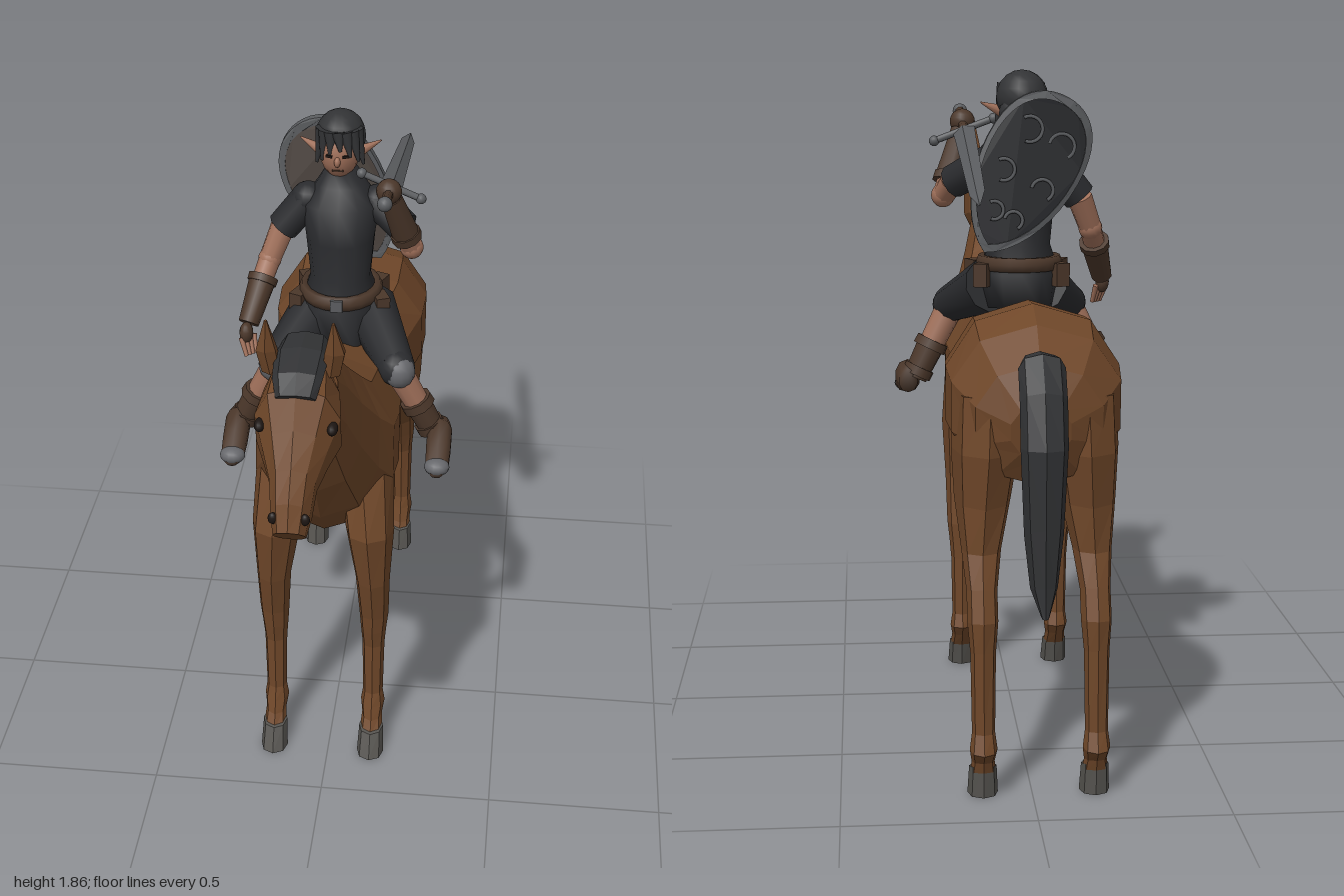
import * as THREE from 'three';

const mat = (name, color) => { const m = new THREE.MeshStandardMaterial({ color }); m.name = name; return m; };
const V = (x, y, z) => new THREE.Vector3(x, y, z);

// Skin over oval rings. Each ring: [z1, y1, z2, y2, halfWidth, xOffset] - two opposite points and a width.
function loft(rings, { sides = 10, x = 0, mirror = 1, flat = true } = {}) {
  const pos = [], idx = [], n = sides;
  for (const [z1, y1, z2, y2, hw, off = 0] of rings)
    for (let i = 0; i < n; i++) {
      const a = i / n * Math.PI * 2, c = Math.cos(a) / 2, s = Math.sin(a);
      const wide = Math.sign(s) * Math.abs(s) ** 0.85;
      pos.push(x + mirror * off + wide * hw, (y1 + y2) / 2 + (y1 - y2) * c, (z1 + z2) / 2 + (z1 - z2) * c);
    }
  for (let r = 0; r < rings.length - 1; r++)
    for (let i = 0; i < n; i++) {
      const a = r * n + i, b = r * n + (i + 1) % n;
      idx.push(a, b, a + n, b, b + n, a + n);
    }
  const last = (rings.length - 1) * n;
  for (let i = 1; i < n - 1; i++) idx.push(0, i + 1, i, last, last + i, last + i + 1);
  // turn the faces outward when the signed volume is negative
  const p = i => V(pos[i * 3], pos[i * 3 + 1], pos[i * 3 + 2]);
  let vol = 0;
  for (let i = 0; i < idx.length; i += 3) vol += p(idx[i]).dot(p(idx[i + 1]).cross(p(idx[i + 2])));
  if (vol < 0) idx.reverse();
  let g = new THREE.BufferGeometry();
  g.setAttribute('position', new THREE.Float32BufferAttribute(pos, 3));
  g.setIndex(idx);
  if (flat) g = g.toNonIndexed();
  g.computeVertexNormals();
  return g;
}

export function createModel() {
  const root = new THREE.Group();
  const coat = mat('horse coat', 0x6f4729), hair = mat('dark hair', 0x323335), hoofMat = mat('hoof grey', 0x55534f);
  const cloth = mat('black cloth', 0x2a2b2e), skin = mat('skin', 0xa0705a), leather = mat('brown leather', 0x4b372a);
  const steel = mat('steel', 0x5a5c5f), pad = mat('pad grey', 0x66676b), wood = mat('shield backing', 0x4d4540);
  const eyeMat = mat('eye', 0x1d1613);

  const horse = new THREE.Group(), rider = new THREE.Group();
  horse.name = 'horse'; rider.name = 'rider';
  root.add(horse, rider);
  const add = (parent, name, geo, m) => { const o = new THREE.Mesh(geo, m); o.name = name; parent.add(o); return o; };
  const limb = (name, a, b, r1, r2, m) => {
    const o = add(rider, name, new THREE.CylinderGeometry(r2, r1, a.distanceTo(b), 10), m);
    o.position.copy(a).lerp(b, 0.5);
    o.quaternion.setFromUnitVectors(V(0, 1, 0), b.clone().sub(a).normalize());
    return o;
  };
  const ball = (parent, name, at, size, m) => {
    const o = add(parent, name, new THREE.SphereGeometry(1, 14, 10), m);
    o.position.set(...at); o.scale.set(...size); return o;
  };
  const box = (name, at, size, m, turn = 0) => {
    const o = add(rider, name, new THREE.BoxGeometry(...size), m);
    o.position.set(...at); o.rotation.y = turn; return o;
  };

  // ---- Horse ----
  const hx = -0.018;
  add(horse, 'bodyAndNeck', loft([
    [-.855, 1.04, -.835, .9, .08], [-.82, 1.14, -.79, .82, .17], [-.72, 1.225, -.69, .8, .23],
    [-.6, 1.265, -.58, .79, .24], [-.45, 1.255, -.5, .79, .235], [-.32, 1.22, -.38, .755, .185],
    [-.15, 1.2, -.12, .72, .195], [.05, 1.24, .1, .735, .21], [.2, 1.29, .24, .76, .205],
    [.28, 1.35, .33, .86, .17], [.4, 1.44, .44, 1.02, .13], [.5, 1.52, .53, 1.17, .1],
    [.62, 1.59, .61, 1.27, .085]], { x: hx }), coat);
  add(horse, 'horseHead', loft([
    [.6, 1.58, .58, 1.28, .07], [.72, 1.6, .65, 1.285, .1], [.81, 1.57, .74, 1.28, .112],
    [.865, 1.48, .8, 1.285, .085], [.92, 1.4, .845, 1.265, .06], [.97, 1.335, .88, 1.215, .052],
    [1.0, 1.27, .925, 1.2, .042]], { x: hx }), coat);
  add(horse, 'mane', loft([
    [.15, 1.27, .17, 1.22, .02], [.22, 1.345, .25, 1.28, .035], [.42, 1.49, .44, 1.42, .05],
    [.6, 1.61, .6, 1.55, .06], [.7, 1.62, .7, 1.56, .068], [.79, 1.6, .77, 1.55, .062],
    [.835, 1.56, .8, 1.52, .05]], { x: hx, sides: 8 }), hair);
  add(horse, 'tail', loft([
    [-.8, 1.17, -.81, 1.1, .05], [-.88, 1.175, -.85, 1.1, .06], [-.955, 1.09, -.88, 1.03, .06],
    [-1, .95, -.885, .95, .06], [-.99, .75, -.87, .7, .05], [-.985, .6, -.88, .58, .035],
    [-.985, .52, -.965, .53, .01]], { x: hx, sides: 8 }), hair);
  for (const s of [1, -1]) {
    const o = { x: hx, mirror: s, sides: 8 }, side = s > 0 ? 'left' : 'right';
    add(horse, side + 'FrontLeg', loft([
      [.3, .98, .12, .98, .08, .115], [.36, .8, .16, .78, .07, .135], [.33, .62, .2, .62, .05, .145],
      [.295, .48, .19, .47, .043, .148], [.285, .42, .195, .42, .038, .147], [.272, .36, .2, .36, .033, .147],
      [.27, .18, .205, .18, .03, .147], [.285, .14, .19, .14, .036, .147], [.3, .1, .215, .11, .03, .147],
      [.325, .06, .245, .07, .034, .147]], o), coat);
    add(horse, side + 'FrontHoof', loft([[.328, .07, .245, .085, .036, .147], [.365, 0, .265, 0, .04, .147]], o), hoofMat);
    add(horse, side + 'HindLeg', loft([
      [-.5, 1.05, -.82, 1.05, .09, .125], [-.5, .9, -.835, .9, .09, .13], [-.54, .78, -.81, .76, .075, .138],
      [-.65, .64, -.805, .64, .052, .145], [-.73, .53, -.845, .56, .04, .147], [-.76, .46, -.88, .48, .04, .147],
      [-.79, .38, -.875, .4, .033, .147], [-.81, .18, -.87, .18, .03, .147], [-.8, .14, -.89, .13, .036, .147],
      [-.785, .09, -.86, .1, .03, .147], [-.77, .06, -.85, .07, .034, .147]], o), coat);
    add(horse, side + 'HindHoof', loft([[-.765, .07, -.85, .085, .036, .147], [-.745, 0, -.845, 0, .04, .147]], o), hoofMat);
    add(horse, side + 'HorseEar', loft([
      [.725, 1.55, .67, 1.55, .025, .075], [.74, 1.62, .68, 1.61, .028, .085], [.735, 1.705, .725, 1.705, .004, .083]],
      { ...o, sides: 6 }), coat);
    ball(horse, side + 'HorseEye', [hx + s * .09, 1.46, .815], [.014, .016, .024], eyeMat);
    ball(horse, side + 'Nostril', [hx + s * .04, 1.29, .968], [.012, .016, .01], eyeMat);
  }

  // ---- Rider body ----
  add(rider, 'tunic', loft([
    [-.05, 1.19, -.3, 1.21, .1], [-.06, 1.3, -.3, 1.3, .115], [-.1, 1.38, -.26, 1.38, .088],
    [-.08, 1.5, -.28, 1.52, .1], [-.11, 1.6, -.29, 1.6, .115], [-.15, 1.65, -.27, 1.65, .075],
    [-.165, 1.7, -.25, 1.7, .045]], { x: -.015, sides: 14, flat: false }), cloth);
  const belt = add(rider, 'belt', new THREE.TorusGeometry(.107, .016, 6, 20), leather);
  belt.position.set(-.015, 1.33, -.185); belt.rotation.x = Math.PI / 2; belt.scale.set(1, 1.08, 1.4);
  for (const [x, z, t] of [[.105, -.14, .4], [.09, -.25, -.4], [-.13, -.14, -.4], [-.12, -.25, .4]])
    box('beltPouch', [x, 1.3, z], [.04, .065, .06], leather, t);
  box('beltBuckle', [-.015, 1.33, -.058], [.035, .035, .012], steel);

  // ---- Head and hair ----
  const cx = -.02;
  ball(rider, 'head', [cx, 1.755, -.2], [.058, .08, .07], skin);
  ball(rider, 'nose', [cx, 1.745, -.13], [.009, .015, .013], skin);
  ball(rider, 'hairCap', [cx, 1.79, -.222], [.072, .074, .078], hair);
  ball(rider, 'hairBack', [cx, 1.745, -.25], [.066, .07, .045], hair);
  for (let i = 0; i < 7; i++) {
    const a = (i - 3) * .42;
    limb('fringeLock', V(cx + Math.sin(a) * .05, 1.825, -.2 + Math.cos(a) * .05),
      V(cx + Math.sin(a + .12) * .07, 1.775 - .018 * Math.abs(i - 3), -.205 + Math.cos(a) * .072), .02, .004, hair);
  }
  for (const s of [1, -1]) {
    limb('pointedEar', V(cx + s * .055, 1.75, -.205), V(cx + s * .115, 1.775, -.23), .017, .002, skin);
    box('eye', [cx + s * .023, 1.76, -.136], [.018, .007, .008], eyeMat, s * .35);
    box('mouthCorner', [cx + s * .008, 1.715, -.143], [.016, .004, .008], leather);
  }

  // ---- Arms: right hangs down, left raises the sword ----
  const arms = [
    ['right', V(-.11, 1.6, -.2), V(-.185, 1.51, -.19), V(-.22, 1.42, -.16), V(-.255, 1.32, -.08), V(-.268, 1.27, -.04)],
    ['left', V(.09, 1.6, -.2), V(.17, 1.55, -.14), V(.195, 1.51, -.1), V(.165, 1.6, -.06), V(.14, 1.69, -.03)]];
  for (const [side, shoulder, cuff, elbow, mid, wrist] of arms) {
    ball(rider, side + 'Shoulder', shoulder.toArray(), [.052, .05, .05], cloth);
    limb(side + 'Sleeve', shoulder, cuff, .05, .047, cloth);
    limb(side + 'UpperArm', cuff, elbow, .036, .032, skin);
    ball(rider, side + 'Elbow', elbow.toArray(), [.034, .034, .034], skin);
    limb(side + 'Forearm', elbow, mid, .032, .028, skin);
    const wrap = elbow.clone().lerp(mid, .4);
    limb(side + 'Bracer', wrap, wrist, .04, .03, leather);
    limb(side + 'BracerCuff', wrap, wrap.clone().lerp(wrist, .15), .044, .043, leather);
  }
  ball(rider, 'rightHand', [-.272, 1.25, -.02], [.02, .032, .026], leather);
  for (let i = 0; i < 4; i++)
    limb('rightFinger', V(-.285 + i * .011, 1.24, -.005 - i * .01), V(-.268 + i * .008, 1.19, .012 - i * .008), .008, .006, skin);
  ball(rider, 'leftHand', [.135, 1.715, -.02], [.036, .036, .034], leather);

  // ---- Legs and boots ----
  for (const s of [1, -1]) {
    const P = (x, y, z) => V(s * x - .004, y, z), side = s > 0 ? 'left' : 'right';
    const hip = P(.07, 1.265, -.2), knee = P(.17, 1.185, .02), shin = P(.22, 1.09, .012), ankle = P(.28, .97, .0);
    limb(side + 'Thigh', hip, knee, .08, .055, cloth);
    ball(rider, side + 'Knee', knee.toArray(), [.055, .055, .055], cloth);
    ball(rider, side + 'KneePad', P(.18, 1.18, .035).toArray(), [.046, .05, .044], pad);
    limb(side + 'Calf', knee, shin.clone().lerp(ankle, .4), .042, .036, skin);
    limb(side + 'BootShaft', shin.clone().lerp(ankle, .1), ankle, .042, .036, leather);
    limb(side + 'BootCuff', shin.clone().lerp(ankle, .1), shin.clone().lerp(ankle, .3), .048, .05, leather);
    limb(side + 'BootStrap', shin.clone().lerp(ankle, .75), shin.clone().lerp(ankle, .95), .044, .044, leather);
    add(rider, side + 'Foot', loft([
      [-.035, 1, -.03, .93, .028], [.02, 1.02, .025, .925, .037], [.08, .985, .085, .91, .037],
      [.14, .95, .145, .905, .034], [.165, .93, .165, .908, .016]], { x: s * .297, flat: false }), leather);
    ball(rider, side + 'ToeCap', [s * .297, .93, .138], [.037, .025, .032], pad);
  }

  // ---- Sword, laid back over the shoulder ----
  const sword = new THREE.Group();
  sword.name = 'sword';
  sword.position.set(.135, 1.695, -.1);
  sword.lookAt(.135, 1.54, -.84);
  sword.rotateZ(.37);
  rider.add(sword);
  add(sword, 'blade', loft([[0, .013, 0, -.013, .033], [.08, .012, .08, -.012, .03],
    [.64, .008, .64, -.008, .021], [.755, .001, .755, -.001, .001]], { sides: 4 }), steel);
  const guard = add(sword, 'crossguard', new THREE.CylinderGeometry(.01, .01, .18, 8), steel);
  guard.rotation.z = Math.PI / 2;
  for (const s of [1, -1]) ball(sword, 'guardEnd', [s * .09, 0, 0], [.015, .015, .015], steel);
  const grip = add(sword, 'grip', new THREE.CylinderGeometry(.013, .015, .21, 8), leather);
  grip.rotation.x = Math.PI / 2; grip.position.z = -.105;
  ball(sword, 'pommel', [0, 0, -.222], [.021, .021, .02], steel);

  // ---- Shield slung on the back ----
  const shield = new THREE.Group();
  shield.name = 'shield';
  shield.position.set(-.025, 1.585, -.31);
  shield.rotation.z = .5;
  rider.add(shield);
  const outline = k => {
    const c = new THREE.Shape();
    c.moveTo(0, -.245 * k);
    c.bezierCurveTo(.09 * k, -.2 * k, .15 * k, -.06 * k, .14 * k, .08 * k);
    c.bezierCurveTo(.13 * k, .19 * k, .07 * k, .235 * k, 0, .235 * k);
    c.bezierCurveTo(-.07 * k, .235 * k, -.13 * k, .19 * k, -.14 * k, .08 * k);
    c.bezierCurveTo(-.15 * k, -.06 * k, -.09 * k, -.2 * k, 0, -.245 * k);
    return c;
  };
  const slab = (name, shape, depth, z, m) => {
    const g = new THREE.ExtrudeGeometry(shape, { depth, bevelEnabled: false, curveSegments: 10 });
    // bow the sides forward around the rider
    const p = g.attributes.position;
    for (let i = 0; i < p.count; i++) p.setZ(i, p.getZ(i) + z + 1.2 * p.getX(i) ** 2);
    g.computeVertexNormals();
    return add(shield, name, g, m);
  };
  slab('shieldBacking', outline(.96), .008, 0, wood);
  slab('shieldFace', outline(.96), .008, -.008, cloth);
  const rim = outline(1);
  rim.holes.push(outline(.9));
  slab('shieldRim', rim, .026, -.014, steel);
  // curled ornament on the face
  for (const s of [1, -1])
    for (const [x, y, r] of [[.05, .11, .035], [.06, -.02, .03], [.03, -.13, .025]]) {
      const curl = add(shield, 'shieldOrnament', new THREE.TorusGeometry(r, .005, 4, 14, 4), steel);
      curl.position.set(s * x, y, -.008); curl.scale.x = s;
      curl.rotation.z = s * .6;
      if (s < 0) { curl.scale.x = 1; curl.rotation.y = Math.PI; }
    }
  return root;
}
